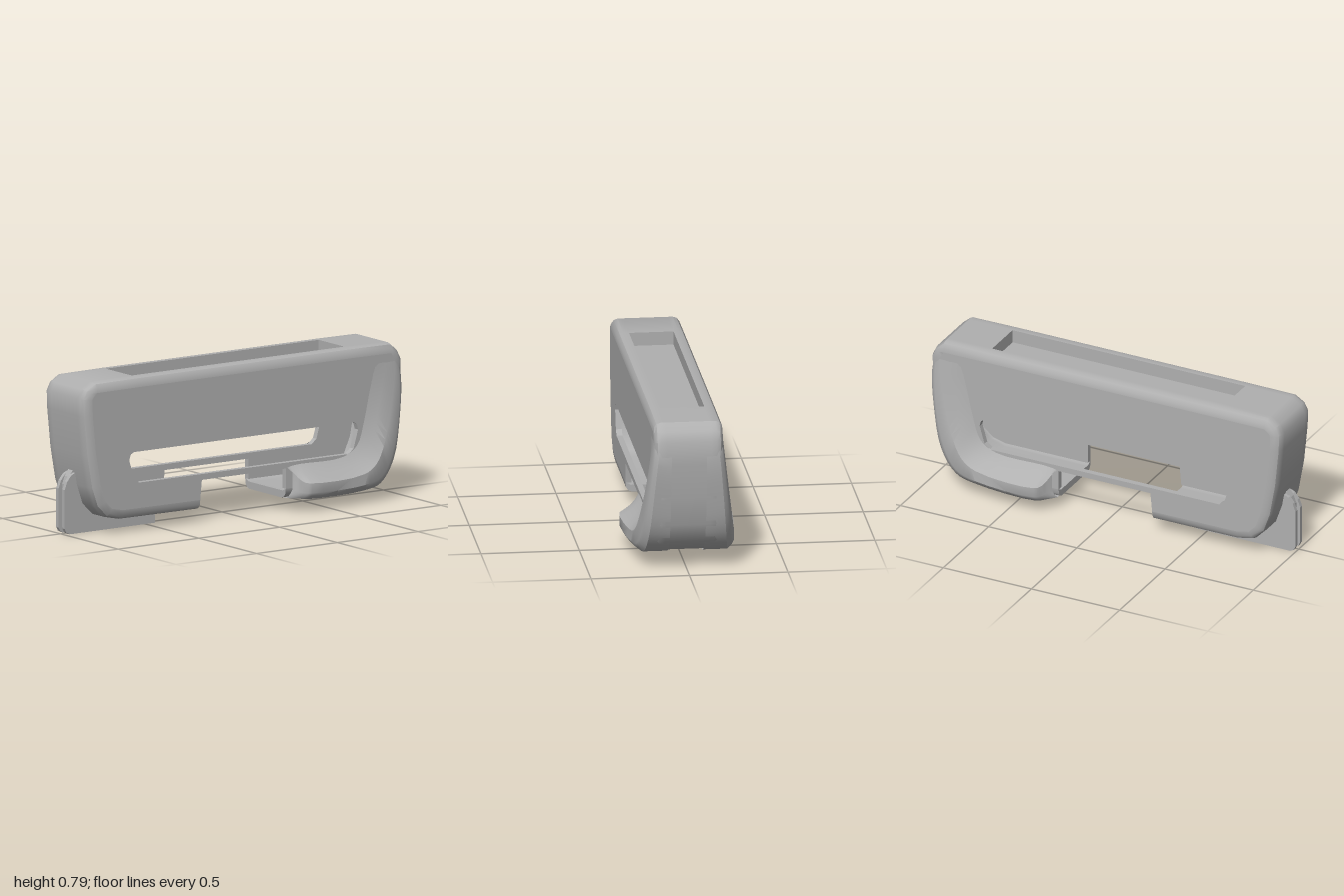
import * as THREE from 'three';
import { toCreasedNormals } from 'three/addons/utils/BufferGeometryUtils.js';

const HALF = 0.176, WALL = 0.03, POCKET = 0.113;

// Outer skin path in (z, y): underside, front, top, back, underside
const path = [
  [0.26, 0.068], [0.74, 0.07], [0.83, 0.09], [0.89, 0.15], [0.925, 0.25], [0.955, 0.42],
  [0.975, 0.62], [0.978, 0.71], [0.955, 0.755], [0.9, 0.788], [0.64, 0.79], [-0.68, 0.79],
  [-0.93, 0.788], [-0.975, 0.75], [-1, 0.7], [-0.995, 0.58], [-0.975, 0.4], [-0.945, 0.25],
  [-0.9, 0.15], [-0.83, 0.09], [-0.74, 0.066], [-0.27, 0.066],
];
const POCKET_SEGMENT = 10;

// Point of the path moved inward by d
function inset(i, d) {
  const a = path[Math.max(i - 1, 0)], b = path[Math.min(i + 1, path.length - 1)];
  const tz = b[0] - a[0], ty = b[1] - a[1], l = Math.hypot(tz, ty);
  return [path[i][0] - (ty / l) * d, path[i][1] + (tz / l) * d];
}

// Surface through rows of [x, y, z] points
function surface(rows, { flip = false, caps = false, skip = () => false } = {}) {
  const n = rows[0].length, index = [];
  const quad = (a, b, c, d) => (flip ? index.push(a, c, b, b, c, d) : index.push(a, b, c, b, d, c));
  for (let i = 0; i < rows.length - 1; i++)
    for (let j = 0; j < n - 1; j++)
      if (!skip(i, j)) quad(i * n + j, (i + 1) * n + j, i * n + j + 1, (i + 1) * n + j + 1);
  if (caps) {
    const last = (rows.length - 1) * n;
    for (let j = 0; j < n / 2 - 1; j++) {
      const k = n - 2 - j;
      quad(j, j + 1, k, k - 1);
      quad(last + j, last + k, last + j + 1, last + k - 1);
    }
  }
  const g = new THREE.BufferGeometry();
  g.setAttribute('position', new THREE.Float32BufferAttribute(rows.flat(2), 3));
  g.setIndex(index);
  return toCreasedNormals(g, 0.6);
}

// Plate with a (z, y) outline, spanning x0 to x1
function plate(points, x0, x1, hole) {
  const toVec = (list) => list.map(([z, y]) => new THREE.Vector2(-z, y));
  const shape = new THREE.Shape(toVec(points));
  if (hole) shape.holes.push(new THREE.Path(toVec(hole)));
  const g = new THREE.ExtrudeGeometry(shape, { depth: x1 - x0, bevelEnabled: false });
  return g.rotateY(Math.PI / 2).translate(x0, 0, 0);
}

export function createModel() {
  const model = new THREE.Group();
  const grey = new THREE.MeshStandardMaterial({ color: 0xb0b0b0, side: THREE.DoubleSide });
  grey.name = 'plain grey';
  const add = (name, geometry) => {
    const mesh = new THREE.Mesh(geometry, grey);
    mesh.name = name;
    model.add(mesh);
    return mesh;
  };

  // Rounded skin with inner face, open at the underside gap and over the pocket
  const half = [[HALF, 0.05], [0.173, 0.025], [0.16, 0.007], [0.14, 0], [POCKET, 0]];
  const section = [...half, ...half.slice().reverse().map(([x, d]) => [-x, d])];
  const skinRows = path.map((_, i) => {
    const outer = section.map(([x, d]) => {
      const [z, y] = inset(i, d);
      return [x, y, z];
    });
    const [zi, yi] = inset(i, 0.037);
    const inner = section.map(([x]) => [x * 0.85, Math.min(yi, 0.69), zi]).reverse();
    return [...outer, ...inner, outer[0]];
  });
  add('outerShell', surface(skinRows, {
    caps: true,
    skip: (i, j) => i === POCKET_SEGMENT && j === half.length - 1,
  }));

  // Side walls with the long slot and thin rails
  const outline = path.map((_, i) => inset(i, 0.05));
  outline.push([-0.27, 0.22], [0.25, 0.22]);
  const slot = [
    [0.7, 0.37], [0.69, 0.4], [0.67, 0.41], [-0.69, 0.41], [-0.71, 0.4],
    [-0.718, 0.37], [-0.69, 0.275], [-0.66, 0.25], [0.64, 0.25], [0.67, 0.275],
  ];
  add('leftWall', plate(outline, HALF - WALL, HALF, slot));
  add('rightWall', plate(outline, -HALF, WALL - HALF, slot));

  // Recessed pocket in the top
  const box = (name, w, h, d, x, y, z) =>
    add(name, new THREE.BoxGeometry(w, h, d).translate(x, y, z));
  box('pocketFloor', POCKET * 2, 0.02, 1.32, 0, 0.71, -0.02);
  for (const s of [1, -1]) {
    box('pocketSide', 0.01, 0.085, 1.34, s * (POCKET + 0.005), 0.7465, -0.02);
    box('pocketEnd', POCKET * 2, 0.085, 0.01, 0, 0.7465, -0.02 + s * 0.665);
  }

  // Flared guard at the back: root, crest, side and lower edge at each station
  const stations = [
    [[0.175, 0.225, -0.28], [0.19, 0.2, -0.3], [0.19, 0.11, -0.3], [0.17, 0.066, -0.28]],
    [[0.175, 0.23, -0.3], [0.25, 0.155, -0.33], [0.25, 0.1, -0.33], [0.22, 0.066, -0.325]],
    [[0.175, 0.235, -0.36], [0.28, 0.15, -0.36], [0.28, 0.1, -0.36], [0.25, 0.065, -0.36]],
    [[0.175, 0.24, -0.62], [0.258, 0.155, -0.7], [0.262, 0.1, -0.7], [0.225, 0.065, -0.72]],
    [[0.175, 0.29, -0.71], [0.247, 0.2, -0.785], [0.243, 0.13, -0.82], [0.21, 0.089, -0.835]],
    [[0.175, 0.42, -0.755], [0.229, 0.31, -0.85], [0.225, 0.23, -0.895], [0.195, 0.2, -0.925]],
    [[0.175, 0.58, -0.79], [0.207, 0.46, -0.9], [0.202, 0.42, -0.95], [0.175, 0.42, -0.978]],
    [[0.174, 0.72, -0.83], [0.183, 0.64, -0.94], [0.18, 0.62, -0.97], [0.155, 0.62, -0.997]],
    [[0.168, 0.765, -0.88], [0.17, 0.745, -0.95], [0.165, 0.74, -0.965], [0.135, 0.74, -0.975]],
  ];
  const columns = [0, 1, 2, 3].map((k) =>
    new THREE.CatmullRomCurve3(stations.map((s) => new THREE.Vector3(...s[k]))));
  const flareRows = [];
  for (let i = 0; i <= 32; i++) {
    const [root, crest, side, edge] = columns.map((c) => c.getPoint(i / 32).toArray());
    const scoop = root.map((v, k) => v + (crest[k] - v) * (k === 0 ? 0.38 : 0.52));
    const corner = side.map((v, k) => (v + edge[k]) / 2 + (k === 0 ? 0.006 : 0));
    flareRows.push([root, scoop, crest, side, corner, edge, [0.09, edge[1], edge[2]]]);
  }
  add('leftGuardFlare', surface(flareRows, { flip: true }));
  add('rightGuardFlare', surface(flareRows.map((r) => r.map(([x, y, z]) => [-x, y, z]))));

  // Keel under the front, two ridges around a recessed core
  const keel = [
    [0.44, 0], [0.97, 0], [0.99, 0.01], [1, 0.03], [1, 0.23], [0.985, 0.27], [0.96, 0.3],
    [0.935, 0.312], [0.92, 0.27], [0.9, 0.19], [0.85, 0.12], [0.76, 0.085], [0.44, 0.085],
  ];
  const core = keel.map(([z, y]) => [z > 0.9 ? z - 0.022 : z, y > 0.2 ? y + 0.022 : y]);
  add('keelCore', plate(core, -0.02, 0.02));
  add('leftKeelRidge', plate(keel, 0.016, 0.037));
  add('rightKeelRidge', plate(keel, -0.037, -0.016));

  return model;
}
